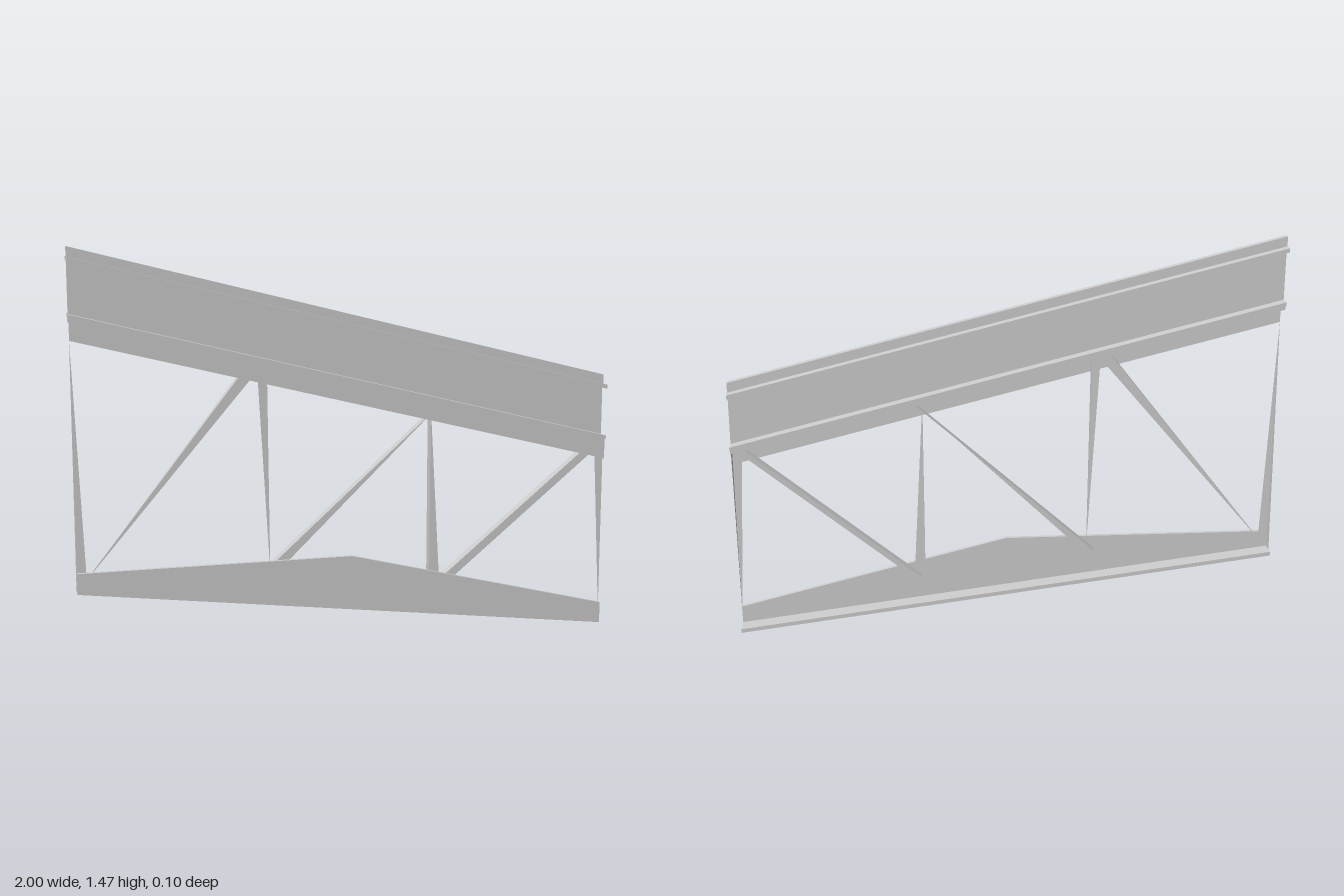
import * as THREE from 'three';

const grey = new THREE.MeshStandardMaterial({ color: 0xcccccc, flatShading: true });
const thin = new THREE.MeshStandardMaterial({ color: 0xcccccc, flatShading: true, side: THREE.DoubleSide });

// Full-length bar: y0..y1 is its height at mid-span, then sheared to the slope
function slopedBar(name, y0, y1, z0, z1, slope) {
  const geo = new THREE.BoxGeometry(2, y1 - y0, z1 - z0);
  geo.translate(0, (y0 + y1) / 2, (z0 + z1) / 2);
  const p = geo.attributes.position;
  for (let i = 0; i < p.count; i++) p.setY(i, p.getY(i) + slope * p.getX(i));
  geo.computeVertexNormals();
  const mesh = new THREE.Mesh(geo, grey);
  mesh.name = name;
  return mesh;
}

// Thin angle brace along a corner line from a (bottom) to b (top).
// face: [bottom, top] signed width of the leg in the truss plane,
// depth: [bottom, top] width of the leg running back in z.
function brace(name, a, b, face, depth, level) {
  const zf = 0.025;
  const A = new THREE.Vector3(a[0], a[1], zf), B = new THREE.Vector3(b[0], b[1], zf);
  const d = B.clone().sub(A).normalize();
  const side = level ? new THREE.Vector3(1, 0, 0) : new THREE.Vector3(d.y, -d.x, 0);
  const back = new THREE.Vector3(0, 0, -1);
  const pos = [];
  for (const [dir, w] of [[side, face], [back, depth]]) {
    const A2 = A.clone().addScaledVector(dir, w[0]);
    const B2 = B.clone().addScaledVector(dir, w[1]);
    const tris = [];
    if (w[0]) tris.push(A, A2, B);
    if (w[1]) tris.push(A2, B2, B);
    tris.forEach(v => pos.push(v.x, v.y, v.z));
  }
  const geo = new THREE.BufferGeometry();
  geo.setAttribute('position', new THREE.Float32BufferAttribute(pos, 3));
  geo.computeVertexNormals();
  const mesh = new THREE.Mesh(geo, thin);
  mesh.name = name;
  return mesh;
}

export function createModel() {
  const model = new THREE.Group();

  // Upper beam: I-section with a cap bar on top and an angle hung beneath
  const upper = new THREE.Group();
  upper.name = 'upperBeam';
  const s = -0.25;
  upper.add(
    slopedBar('capBar', 1.185, 1.22, -0.012, 0.015, s),
    slopedBar('topFlange', 1.17, 1.185, -0.05, 0.05, s),
    slopedBar('beamWeb', 0.99, 1.17, -0.006, 0.006, s),
    slopedBar('bottomFlange', 0.975, 0.99, -0.05, 0.05, s),
    slopedBar('hangerLedge', 0.96, 0.975, -0.036, 0.026, s),
    slopedBar('hangerPlate', 0.9, 0.975, 0.026, 0.04, s)
  );

  // Lower chord: cranked front plate with a ledge along its foot
  const lower = new THREE.Group();
  lower.name = 'lowerChord';
  const outline = new THREE.Shape([[-1, 0.255], [1, 0], [1, 0.08], [0, 0.33], [-1, 0.33]]
    .map(([x, y]) => new THREE.Vector2(x, y)));
  const plateGeo = new THREE.ExtrudeGeometry(outline, { depth: 0.014, bevelEnabled: false });
  plateGeo.translate(0, 0, 0.026);
  const plate = new THREE.Mesh(plateGeo, grey);
  plate.name = 'chordPlate';
  lower.add(plate, slopedBar('chordLedge', 0.1275, 0.1425, -0.036, 0.026, -0.1275));

  // Posts and diagonals between the two chords
  const w = 0.036;
  const web = new THREE.Group();
  web.name = 'webMembers';
  web.add(
    brace('post1', [-1, 0.27], [-1, 1.15], [w, 0], [w, 0], true),
    brace('post2', [-0.305, 0.29], [-0.31, 1.03], [0, -w], [0, w], true),
    brace('post3', [0.305, 0.2], [0.305, 0.88], [0.04, 0], [w, w], true),
    brace('post4', [1, 0.05], [1, 0.71], [0, -w], [0, w], true),
    brace('diagonal1', [-0.98, 0.285], [-0.385, 1.04], [0, 0.04], [0, w], false),
    brace('diagonal2', [-0.33, 0.285], [0.33, 0.87], [0.036, 0], [w, w], false),
    brace('diagonal3', [0.32, 0.195], [0.95, 0.71], [0.03, 0.03], [w, w], false)
  );

  model.add(upper, lower, web);
  return model;
}
